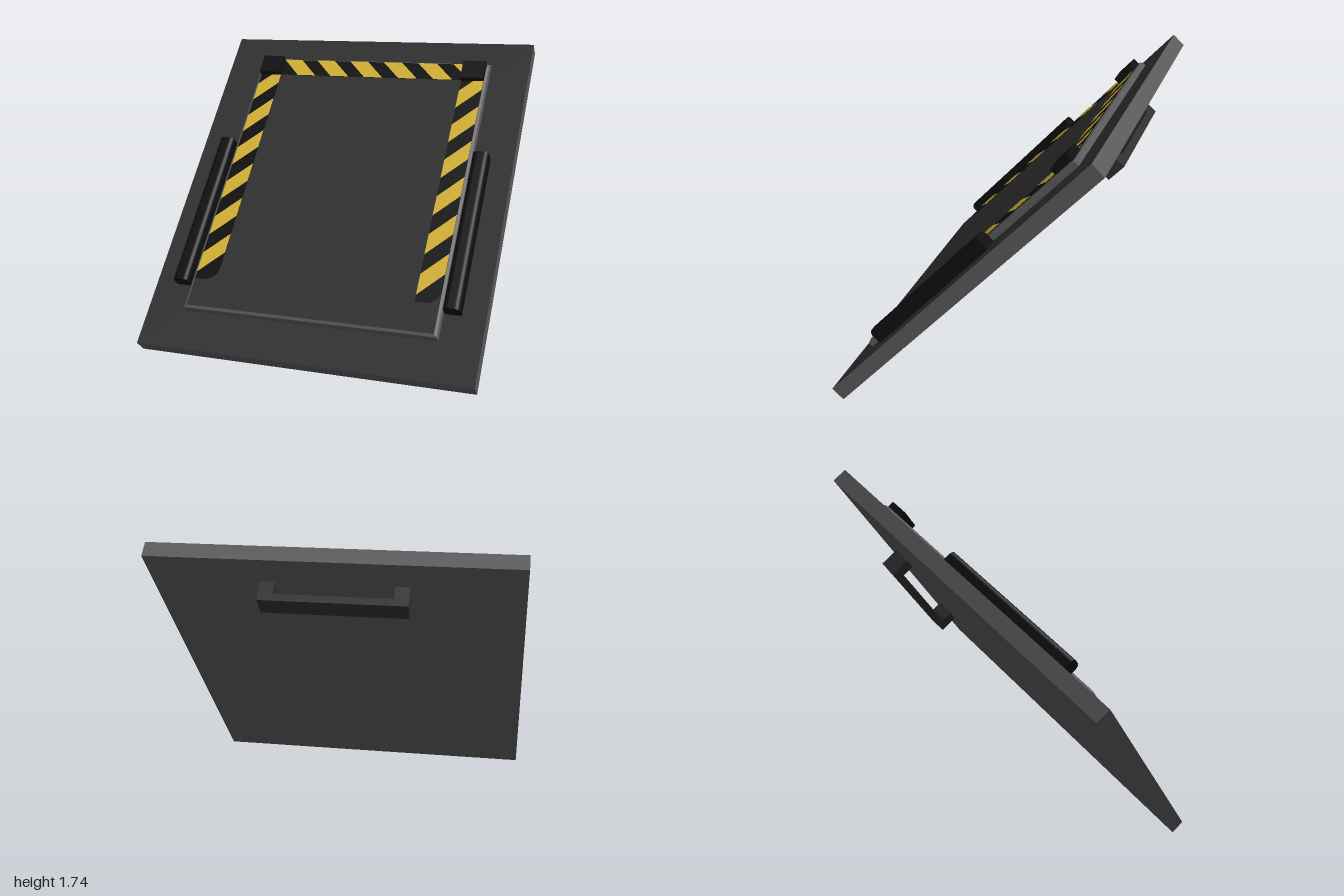
import * as THREE from 'three';

const flat = (name, color) => {
  const m = new THREE.MeshStandardMaterial({ color });
  m.name = name;
  return m;
};

export function createModel() {
  const grey = flat('edgeGrey', 0x5a5a5a);
  const dark = flat('darkGrey', 0x303030);
  const black = flat('black', 0x0f0f0f);
  const yellow = flat('yellow', 0xd8b436);

  const model = new THREE.Group();
  model.name = 'hatch';

  // Everything is built upright, facing +z, then leaned back
  const door = new THREE.Group();
  door.name = 'leaningDoor';
  door.position.y = 0.87;
  door.rotation.x = -0.728;
  model.add(door);

  const add = (name, geometry, material, x = 0, y = 0, z = 0, parent = door) => {
    const mesh = new THREE.Mesh(geometry, material);
    mesh.name = name;
    mesh.position.set(x, y, z);
    parent.add(mesh);
    return mesh;
  };
  const box = (name, material, x0, x1, y0, y1, z0, z1) =>
    add(name, new THREE.BoxGeometry(x1 - x0, y1 - y0, z1 - z0), material,
      (x0 + x1) / 2, (y0 + y1) / 2, (z0 + z1) / 2);
  const polygon = (points) => new THREE.Shape(points.map(([x, y]) => new THREE.Vector2(x, y)));

  // Slab with a dark front face
  box('slab', [grey, grey, grey, grey, dark, grey], -1, 1, -1.125, 1.125, -0.045, 0.045);

  // Raised panel with bevelled rim
  const panelShape = polygon([[-0.742, -0.868], [0.742, -0.868], [0.742, 0.92], [-0.742, 0.92]]);
  add('raisedPanel', new THREE.ExtrudeGeometry(panelShape, {
    depth: 0.02, bevelEnabled: true, bevelThickness: 0.02, bevelSize: 0.022, bevelSegments: 2,
  }), [dark, grey], 0, 0, 0.045);

  // Side hazard bands: black strip with one rounded lower corner, diagonal yellow stripes
  const w = 0.14, low = -0.697, high = 0.81, r = 0.085;
  for (const [side, x] of [['right', -0.742], ['left', 0.602]]) {
    const band = new THREE.Group();
    band.name = side + 'HazardBand';
    band.position.set(x, 0, 0);
    door.add(band);
    const strip = new THREE.Shape();
    strip.moveTo(0, low);
    strip.lineTo(w - r, low);
    strip.absarc(w - r, low + r, r, -Math.PI / 2, 0, false);
    strip.lineTo(w, high);
    strip.lineTo(0, high);
    add('blackStrip', new THREE.ShapeGeometry(strip), black, 0, 0, 0.088, band);
    for (let k = 0; k < 6; k++) {
      const y = -0.655 + 0.25 * k;
      const stripe = polygon([[0, y], [w, y + w], [w, y + w + 0.128], [0, y + 0.128]]);
      add('yellowStripe', new THREE.ShapeGeometry(stripe), yellow, 0, 0, 0.091, band);
    }
  }

  // Top hazard band
  const top = 0.925, bottom = 0.804;
  add('topBlackStrip', new THREE.PlaneGeometry(1.22, top - bottom), black, 0, (top + bottom) / 2, 0.088);
  for (let k = 0; k < 6; k++) {
    const x = -0.605 + 0.2275 * k;
    const end = Math.min(x + 0.122, 0.61);
    const stripe = polygon([[x, top], [x + 0.12, bottom], [end + 0.12, bottom], [end, top]]);
    add('topYellowStripe', new THREE.ShapeGeometry(stripe), yellow, 0, 0, 0.091);
  }

  // Rounded side rail profile, extruded along the door
  const railShape = new THREE.Shape();
  const hw = 0.048, hd = 0.043, c = 0.03;
  railShape.moveTo(-hw, -hd);
  railShape.lineTo(hw, -hd);
  railShape.lineTo(hw, hd - c);
  railShape.absarc(hw - c, hd - c, c, 0, Math.PI / 2, false);
  railShape.absarc(c - hw, hd - c, c, Math.PI / 2, Math.PI, false);
  const railGeometry = new THREE.ExtrudeGeometry(railShape, { depth: 1, bevelEnabled: false, curveSegments: 4 });
  railGeometry.rotateX(-Math.PI / 2).rotateY(Math.PI);

  for (const s of [-1, 1]) {
    const side = s < 0 ? 'right' : 'left';
    // Corner blocks
    const block = s * 0.672;
    box(side + 'CornerBlock', black, block - 0.07, block + 0.07, 0.8, 0.928, 0.08, 0.125);
    // Side rails
    add(side + 'Rail', railGeometry, black, s * 0.817, -0.73, 0.088);
    // Handle legs
    const leg = s * 0.36;
    box(side + 'HandleLeg', dark, leg - 0.04, leg + 0.04, 0.812, 0.932, -0.12, -0.044);
  }

  // Handle grip on the back
  box('handleGrip', dark, -0.4, 0.4, 0.812, 0.932, -0.163, -0.12);

  // Rail profile faces outward after extrusion
  railGeometry.rotateY(Math.PI);
  railGeometry.computeBoundingBox();
  const rounded = railGeometry.attributes.position;
  // Turn the rounded edge of the rail towards the front
  for (let i = 0; i < rounded.count; i++) rounded.setXYZ(i, -rounded.getX(i), rounded.getY(i), -rounded.getZ(i));
  railGeometry.computeVertexNormals();

  return model;
}
